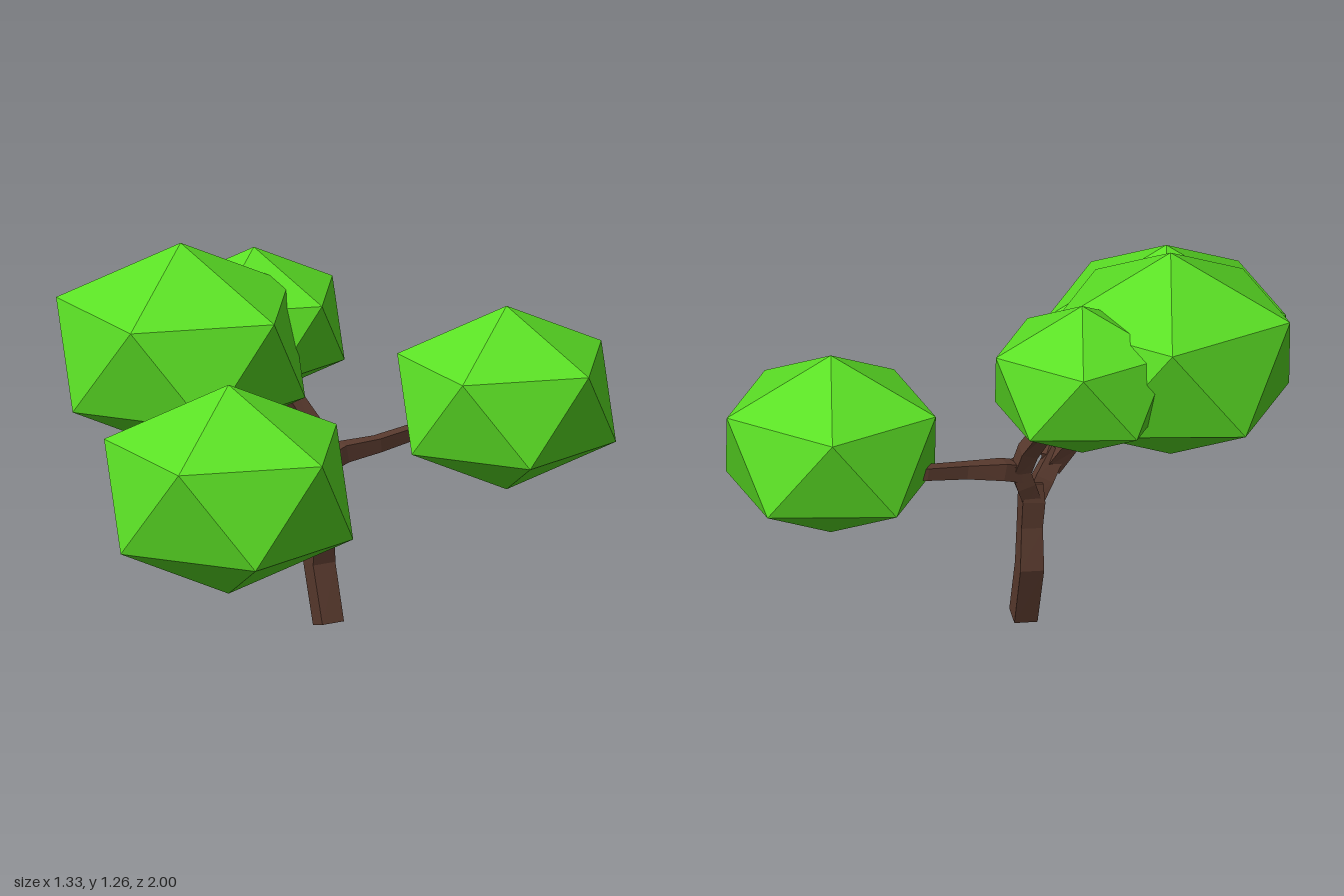
import * as THREE from 'three';

const leafMat = new THREE.MeshStandardMaterial({ color: 0x5be025, flatShading: true });
const barkMat = new THREE.MeshStandardMaterial({ color: 0x593a2e, flatShading: true });

// Square-section limb swept along points [x, y, z, halfWidth], capped at both ends.
// ref is the direction one side of the section faces.
function limb(name, points, ref) {
  const centres = points.map(p => new THREE.Vector3(p[0], p[1], p[2]));
  const last = centres.length - 1;
  const pos = [], index = [];
  centres.forEach((c, i) => {
    const t = new THREE.Vector3();
    if (i > 0) t.add(c.clone().sub(centres[i - 1]).normalize());
    if (i < last) t.add(centres[i + 1].clone().sub(c).normalize());
    t.normalize();
    const u = ref.clone().addScaledVector(t, -ref.dot(t)).normalize();
    const v = t.clone().cross(u);
    const h = points[i][3];
    for (const [a, b] of [[1, 1], [-1, 1], [-1, -1], [1, -1]]) {
      const p = c.clone().addScaledVector(u, a * h).addScaledVector(v, b * h);
      pos.push(p.x, p.y, p.z);
    }
  });
  for (let i = 0; i < last; i++) {
    for (let k = 0; k < 4; k++) {
      const a = i * 4 + k, b = i * 4 + (k + 1) % 4;
      index.push(a, b, b + 4, a, b + 4, a + 4);
    }
  }
  const e = last * 4;
  index.push(0, 2, 1, 0, 3, 2, e, e + 1, e + 2, e, e + 2, e + 3);
  let geo = new THREE.BufferGeometry();
  geo.setAttribute('position', new THREE.Float32BufferAttribute(pos, 3));
  geo.setIndex(index);
  geo = geo.toNonIndexed();
  geo.computeVertexNormals();
  const mesh = new THREE.Mesh(geo, barkMat);
  mesh.name = name;
  return mesh;
}

// Flattened icosahedron standing on a corner, upper ring pointing to +x
function foliage(name, x, y, z, radius) {
  const geo = new THREE.IcosahedronGeometry(radius, 0);
  geo.rotateZ(-Math.atan(2 / (1 + Math.sqrt(5))));
  geo.scale(1, 0.78, 1);
  geo.computeVertexNormals();
  const mesh = new THREE.Mesh(geo, leafMat);
  mesh.position.set(x, y, z);
  mesh.name = name;
  return mesh;
}

export function createModel() {
  const tree = new THREE.Group();
  tree.name = 'tree';

  // Trunk and forked branches
  const turn = THREE.MathUtils.degToRad(24);
  const side = new THREE.Vector3(-Math.sin(turn), 0, Math.cos(turn));
  const up = new THREE.Vector3(0, 1, 0);
  const wood = new THREE.Group();
  wood.name = 'wood';
  wood.add(
    limb('trunk', [[0.045, 0.0125, -0.097, 0.037], [-0.007, 0.2, -0.112, 0.038],
      [0.008, 0.33, -0.1, 0.034], [0.004, 0.42, -0.096, 0.036], [0, 0.48, -0.092, 0.026]], side),
    limb('frontFork', [[0.004, 0.4, -0.1, 0.028], [0, 0.48, -0.055, 0.03], [0.005, 0.56, 0.005, 0.026]], side),
    limb('backFork', [[0.004, 0.4, -0.09, 0.028], [0, 0.48, -0.125, 0.03], [0, 0.56, -0.155, 0.028]], side),
    limb('frontBranch', [[0, 0.53, -0.025, 0.028], [0.05, 0.563, 0.04, 0.026],
      [0.21, 0.603, 0.26, 0.022], [0.27, 0.615, 0.34, 0.02]], up),
    limb('frontUpperBranch', [[0.005, 0.51, -0.02, 0.026], [-0.04, 0.6, 0.025, 0.025],
      [-0.12, 0.72, 0.08, 0.023], [-0.17, 0.78, 0.11, 0.02]], side),
    limb('backUpperBranch', [[0.005, 0.51, -0.145, 0.026], [-0.03, 0.6, -0.135, 0.027],
      [-0.12, 0.75, -0.085, 0.023], [-0.18, 0.83, -0.08, 0.02]], side),
    limb('backBranch', [[0, 0.52, -0.13, 0.028], [0.015, 0.54, -0.2, 0.028],
      [0.06, 0.55, -0.31, 0.022], [0.09, 0.565, -0.44, 0.02], [0.13, 0.58, -0.52, 0.02]], up),
  );
  tree.add(wood);

  // Foliage clumps
  tree.add(
    foliage('frontRightFoliage', -0.275, 0.92, 0.235, 0.435),
    foliage('frontLeftFoliage', 0.275, 0.66, 0.63, 0.435),
    foliage('backLeftFoliage', 0.272, 0.66, -0.675, 0.382),
    foliage('backRightFoliage', -0.277, 0.92, -0.11, 0.317),
  );
  return tree;
}
